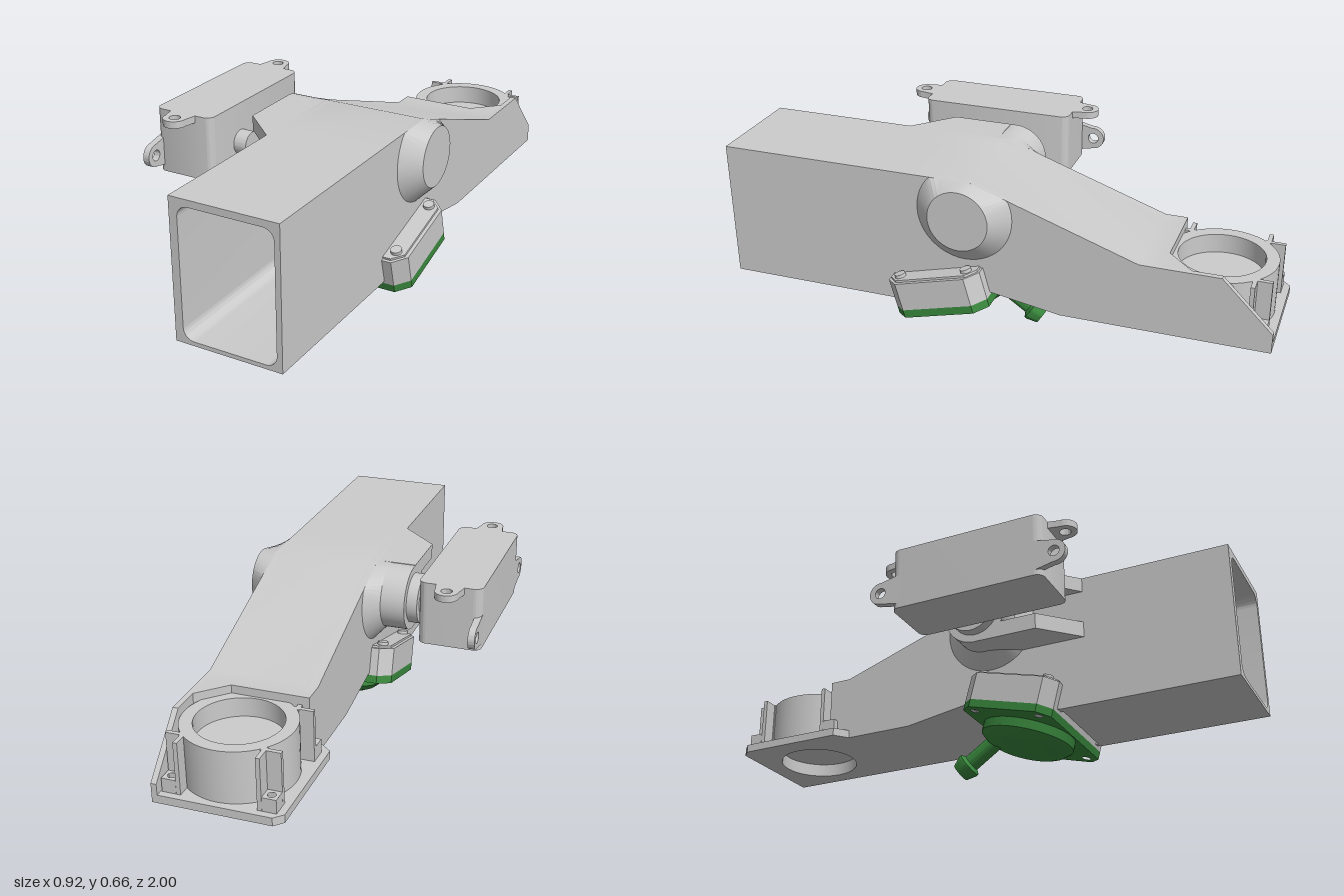
import * as THREE from 'three';
import { toCreasedNormals } from 'three/addons/utils/BufferGeometryUtils.js';

const grey = new THREE.MeshStandardMaterial({ color: 0xcccccc });
const green = new THREE.MeshStandardMaterial({ color: 0x3a8a3e });
const DUCT_L = -0.02, DUCT_R = 0.375, AXIS_Y = 0.525, AXIS_Z = 0.08;

function add(parent, name, geometry, material = grey) {
  const mesh = new THREE.Mesh(toCreasedNormals(geometry, 0.6), material);
  mesh.name = name;
  parent.add(mesh);
  return mesh;
}

const polygon = (pts) => new THREE.Shape(pts.map(([a, b]) => new THREE.Vector2(a, b)));
const circle = (x, y, r) => new THREE.Path().absarc(x, y, r, 0, Math.PI * 2, true);
const extrude = (shape, depth) =>
  new THREE.ExtrudeGeometry(shape, { depth, bevelEnabled: false, curveSegments: 16 });

// Shape drawn in (z, y), extruded from x0 to x1
const sideExtrude = (shape, x0, x1) => extrude(shape, x1 - x0).rotateY(-Math.PI / 2).translate(x1, 0, 0);
// Shape drawn in (x, -z), extruded from y0 to y1
const planExtrude = (shape, y0, y1) => extrude(shape, y1 - y0).rotateX(-Math.PI / 2).translate(0, y0, 0);
const plan = (pts) => polygon(pts.map(([x, z]) => [x, -z]));

function roundedRect(target, x0, y0, x1, y1, r) {
  target.absarc(x1 - r, y0 + r, r, -Math.PI / 2, 0);
  target.absarc(x1 - r, y1 - r, r, 0, Math.PI / 2);
  target.absarc(x0 + r, y1 - r, r, Math.PI / 2, Math.PI);
  target.absarc(x0 + r, y0 + r, r, Math.PI, Math.PI * 1.5);
  target.closePath();
  return target;
}

// Cylinder or cone along x, from x0 (radius r0) to x1 (radius r1)
const rod = (x0, x1, r0, r1 = r0, y = AXIS_Y, z = AXIS_Z) =>
  new THREE.CylinderGeometry(r0, r1, x1 - x0, 48).rotateZ(Math.PI / 2).translate((x0 + x1) / 2, y, z);

// Trims a boss to the roof line of the duct
function trimToRoof(geo) {
  const p = geo.attributes.position;
  for (let i = 0; i < p.count; i++) {
    const roof = Math.min(0.645, 0.645 + 0.344 * (p.getZ(i) - 0.055));
    p.setY(i, Math.min(p.getY(i), roof));
  }
  return geo;
}

function buildDuct() {
  const g = new THREE.Group();
  g.name = 'duct';

  // Square front tunnel with rounded bore
  const front = polygon([[DUCT_L, 0.14], [DUCT_R, 0.14], [DUCT_R, 0.645], [DUCT_L, 0.645]]);
  front.holes.push(roundedRect(new THREE.Path(), 0.01, 0.155, 0.355, 0.62, 0.04));
  add(g, 'frontTunnel', extrude(front, 0.65).translate(0, 0, 0.35));

  // Side walls; the right one runs on to the rear edge
  const lower = [[-0.27, 0.19], [0, 0.235], [0.35, 0.14]];
  const upper = [[0.35, 0.645], [0.055, 0.645], [-0.54, 0.44]];
  add(g, 'innerSideWall', sideExtrude(polygon([[-0.62, 0.19], ...lower, ...upper, [-0.62, 0.44]]), DUCT_L, 0.01));
  add(g, 'outerSideWall', sideExtrude(
    polygon([[-1, 0.19], ...lower, ...upper, [-0.82, 0.44], [-1, 0.26]]), 0.355, DUCT_R));

  // Roof, rear wall and rear floor in one strip
  add(g, 'roofAndFloor', sideExtrude(polygon([
    ...upper, [-0.62, 0.44], [-0.62, 0.19], [-0.27, 0.19], [0, 0.235], [0, 0.255],
    [-0.27, 0.245], [-0.6, 0.245], [-0.6, 0.41], [-0.54, 0.41], [0.045, 0.62], [0.35, 0.62],
  ]), 0.01, 0.355));
  add(g, 'rearCorner', planExtrude(plan([[0.26, -0.62], [0.36, -0.62], [0.36, -0.72]]), 0.19, 0.44));

  // Barrel valve and its conical bosses
  add(g, 'valveBarrel', rod(DUCT_L, DUCT_R, 0.078));
  add(g, 'outerBoss', trimToRoof(rod(DUCT_R, 0.44, 0.175, 0.11)));
  add(g, 'innerBoss', trimToRoof(rod(-0.07, DUCT_L, 0.12, 0.175)));
  return g;
}

function buildOutlet() {
  const g = new THREE.Group();
  g.name = 'outlet';
  const cx = 0.16, cz = -0.78;

  // Mounting flange
  const flange = plan([[-0.07, -0.97], [-0.04, -1], [0.375, -1], [0.375, -0.6], [-0.02, -0.53], [-0.07, -0.57]]);
  flange.holes.push(circle(cx, -cz, 0.15));
  add(g, 'flange', planExtrude(flange, 0.19, 0.22));

  // Round collar, blind from both ends
  const profile = [[0, 0.24], [0.15, 0.24], [0.15, 0.19], [0.195, 0.19], [0.195, 0.41], [0.15, 0.41], [0.15, 0.34], [0, 0.34]];
  add(g, 'collar', new THREE.LatheGeometry(profile.map(([r, y]) => new THREE.Vector2(r, y)), 64).translate(cx, 0, cz));

  // Drilled screw blocks with ribs against the collar
  for (const [x, z] of [[-0.02, -0.95], [0.325, -0.95], [-0.02, -0.61]]) {
    const block = plan([[x - 0.025, z - 0.025], [x + 0.025, z - 0.025], [x + 0.025, z + 0.025], [x - 0.025, z + 0.025]]);
    block.holes.push(circle(x, -z, 0.014));
    add(g, 'screwBlock', planExtrude(block, 0.22, 0.27));
    const sx = Math.sign(cx - x), sz = Math.sign(cz - z);
    add(g, 'rib', new THREE.BoxGeometry(0.015, 0.19, 0.07).translate(x + sx * 0.033, 0.315, z + sz * 0.01));
    add(g, 'rib', new THREE.BoxGeometry(0.07, 0.19, 0.015).translate(x + sx * 0.01, 0.315, z + sz * 0.033));
  }
  return g;
}

function buildActuator() {
  const g = new THREE.Group();
  g.name = 'actuator';
  add(g, 'actuatorBody', planExtrude(roundedRect(new THREE.Shape(), -0.46, -0.475, -0.23, 0.1, 0.03), 0.435, 0.67));

  // Drilled ears on the top and on the outer side
  const ear = new THREE.Shape();
  ear.moveTo(0.06, -0.04);
  ear.lineTo(0.042, 0.04);
  ear.absarc(0, 0.045, 0.042, 0, Math.PI);
  ear.lineTo(-0.06, -0.04);
  ear.holes.push(circle(0, 0.045, 0.02));
  for (const back of [true, false]) {
    const z = back ? -0.1 : 0.475;
    const turn = back ? 0 : Math.PI;
    add(g, 'topEar', planExtrude(ear, 0.645, 0.67).rotateY(turn).translate(-0.345, 0, z));
    add(g, 'sideEar', extrude(ear, 0.025).rotateZ(back ? Math.PI / 2 : -Math.PI / 2)
      .rotateY(-Math.PI / 2).scale(1, 1, 1).translate(-0.435, 0.51, z));
  }

  // Drive shaft, coupling and locating pin
  add(g, 'valveHousing', rod(-0.16, DUCT_L, 0.12));
  add(g, 'coupling', rod(-0.2, -0.16, 0.092));
  add(g, 'driveShaft', rod(-0.24, -0.2, 0.062));
  add(g, 'locatingPin', rod(-0.24, -0.18, 0.045, 0.045, AXIS_Y, 0.295));

  // Tapered bracket, open between its two webs
  const web = plan([[-0.02, 0.45], [-0.16, 0.32], [-0.16, 0.1], [-0.02, 0.1]]);
  add(g, 'upperBracket', planExtrude(web, 0.59, 0.645));
  add(g, 'lowerBracket', planExtrude(web, 0.405, 0.465));
  return g;
}

function buildDiaphragm() {
  const g = new THREE.Group();
  g.name = 'diaphragmHousing';
  g.position.set(0.18, 0.178, 0.16);
  g.rotation.x = THREE.MathUtils.degToRad(15);
  const w = 0.275, d = 0.18, c = 0.045, dx = -0.025;
  const outline = () => plan([[-w, -d + c], [-w + c, -d], [w - c, -d], [w, -d + c], [w, d - c], [w - c, d], [-w + c, d], [-w, d - c]]);

  // Stepped seat opening into the duct
  for (const [r, y0, y1] of [[0.085, 0, 0.018], [0.105, 0.018, 0.036]]) {
    const seat = outline();
    seat.holes.push(circle(dx, 0, r));
    add(g, 'seat', planExtrude(seat, y0, y1));
  }

  // Cheeks either side of the duct, with screw heads
  for (const s of [-1, 1]) {
    const cheek = plan([[s * 0.18, -d], [s * (w - c), -d], [s * w, -d + c], [s * w, d - c], [s * (w - c), d], [s * 0.18, d]]);
    add(g, 'cheek', planExtrude(cheek, 0.036, 0.105));
    const cap = plan([[s * 0.18, -d + 0.01], [s * 0.225, -d + 0.01], [s * 0.262, -d + c], [s * 0.262, d - c], [s * 0.225, d - 0.01], [s * 0.18, d - 0.01]]);
    add(g, 'cheekTop', planExtrude(cap, 0.105, 0.113));
    for (const z of [-0.13, 0.13])
      add(g, 'screwHead', new THREE.CylinderGeometry(0.02, 0.02, 0.02, 20).translate(s * 0.228, 0.115, z));
  }

  // Cover plate with screw holes, and its round cup
  const plate = outline();
  for (const x of [-0.23, 0.23]) for (const z of [-0.13, 0.13]) plate.holes.push(circle(x, z, 0.016));
  add(g, 'coverPlate', planExtrude(plate, -0.03, 0), green);
  const cup = [[0, -0.098], [0.125, -0.098], [0.145, -0.09], [0.175, -0.065], [0.175, -0.028]];
  add(g, 'cup', new THREE.LatheGeometry(cup.map(([r, y]) => new THREE.Vector2(r, y)), 64).translate(dx, 0, 0), green);
  return g;
}

function buildHoseBarb() {
  const profile = [[0.032, 0], [0.032, 0.155], [0.049, 0.165], [0.049, 0.175], [0.036, 0.212], [0.018, 0.212], [0.018, 0.14], [0, 0.14]];
  const g = new THREE.Group();
  const barb = add(g, 'hoseBarb', new THREE.LatheGeometry(profile.map(([r, y]) => new THREE.Vector2(r, y)), 32), green);
  g.name = 'inlet';
  barb.position.set(0.155, 0.157, 0.04);
  barb.quaternion.setFromUnitVectors(new THREE.Vector3(0, 1, 0), new THREE.Vector3(0, -0.56, -0.83).normalize());
  return g;
}

export function createModel() {
  const model = new THREE.Group();
  model.name = 'intakeDuct';
  model.add(buildDuct(), buildOutlet(), buildActuator(), buildDiaphragm(), buildHoseBarb());
  return model;
}
